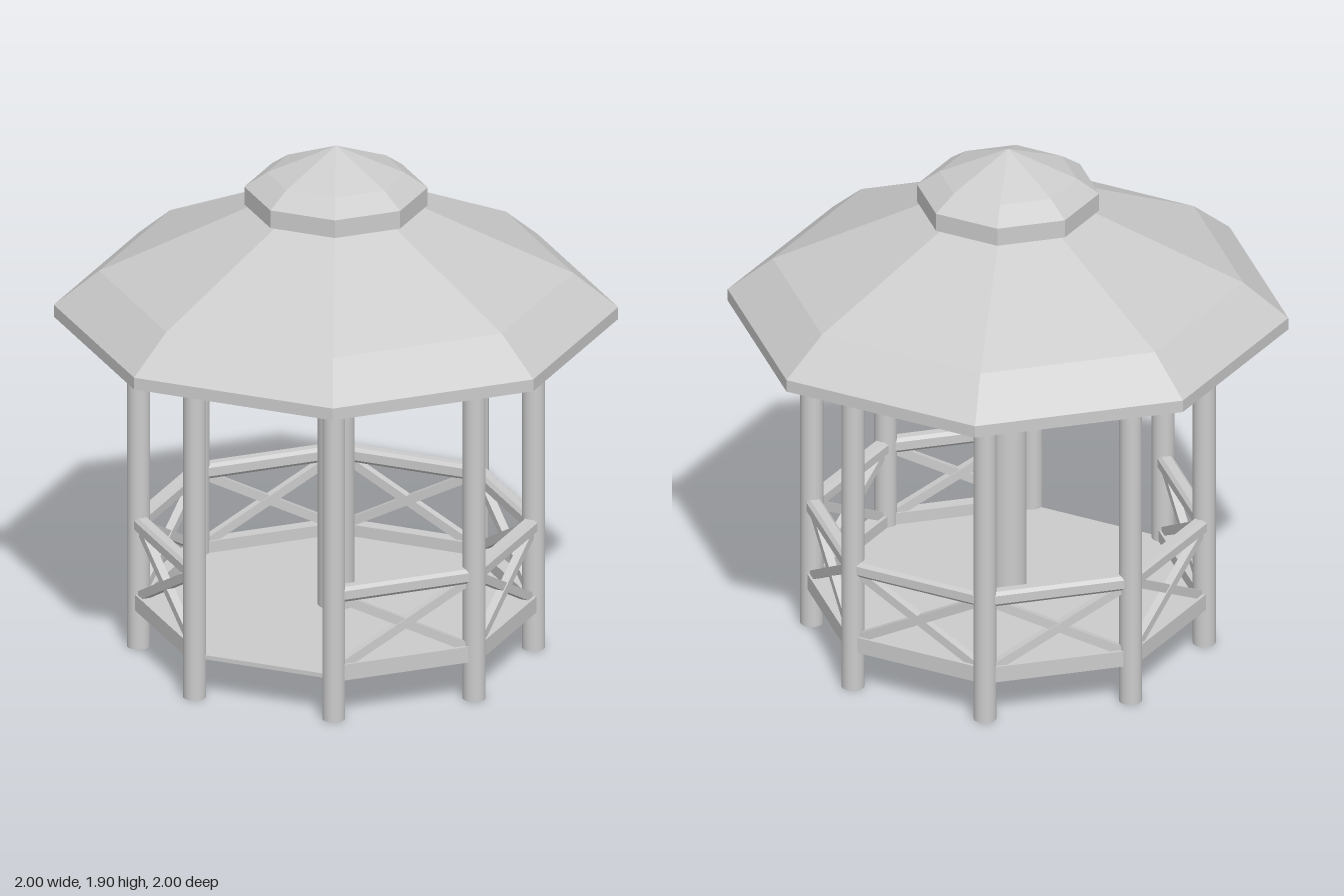
import * as THREE from 'three';

const smooth = new THREE.MeshStandardMaterial({ color: 0xcccccc });
const faceted = new THREE.MeshStandardMaterial({ color: 0xcccccc, flatShading: true });

const SIDES = 8;
const STEP = (Math.PI * 2) / SIDES;
const RADIUS = 0.7; // circle of posts
const CHORD = 2 * RADIUS * Math.sin(STEP / 2);
const APOTHEM = RADIUS * Math.cos(STEP / 2);

function add(parent, name, geometry, material, x = 0, y = 0, z = 0) {
  const mesh = new THREE.Mesh(geometry, material);
  mesh.name = name;
  mesh.position.set(x, y, z);
  parent.add(mesh);
  return mesh;
}

// Eight-sided solid of revolution from a closed [radius, y] profile, outer side listed upwards
function octagonal(profile) {
  const points = [...profile, profile[0]].map(([r, y]) => new THREE.Vector2(r, y));
  return new THREE.LatheGeometry(points, SIDES);
}

// Beam along x with chamfered long edges
function chamferedBeam(length, height, depth, c) {
  const h = height / 2, d = depth / 2;
  const s = new THREE.Shape([
    [d, -h + c], [d, h - c], [d - c, h], [-d + c, h],
    [-d, h - c], [-d, -h + c], [-d + c, -h], [d - c, -h],
  ].map(([x, y]) => new THREE.Vector2(x, y)));
  return new THREE.ExtrudeGeometry(s, { depth: length, bevelEnabled: false })
    .translate(0, 0, -length / 2).rotateY(Math.PI / 2);
}

// One bay of railing: two rails and a diagonal cross
function railing() {
  const bay = new THREE.Group();
  bay.name = 'railing';
  add(bay, 'topRail', chamferedBeam(CHORD, 0.056, 0.056, 0.012), faceted, 0, 0.472, APOTHEM);
  add(bay, 'bottomRail', new THREE.BoxGeometry(CHORD, 0.06, 0.05), faceted, 0, 0.178, APOTHEM);
  const rise = 0.25, run = CHORD - 0.06;
  for (const side of [-1, 1]) {
    const brace = add(bay, 'crossBrace',
      new THREE.BoxGeometry(Math.hypot(rise, run), 0.032, 0.03), faceted,
      0, 0.326, APOTHEM + side * 0.002);
    brace.rotation.z = side * Math.atan2(rise, run);
  }
  return bay;
}

export function createModel() {
  const model = new THREE.Group();
  model.name = 'gazebo';

  // Floor, with corners at the posts
  add(model, 'floor', new THREE.CylinderGeometry(RADIUS, RADIUS, 0.016, SIDES), faceted, 0, 0.156, 0);

  // Posts
  add(model, 'centrePost', new THREE.CylinderGeometry(0.066, 0.066, 1.82, 24), smooth, 0, 0.91, 0);
  const postGeometry = new THREE.CylinderGeometry(0.041, 0.041, 1.3, 20);
  for (let i = 0; i < SIDES; i++) {
    const a = i * STEP;
    add(model, 'post', postGeometry, smooth, RADIUS * Math.sin(a), 0.65, RADIUS * Math.cos(a));
  }

  // Railings in every bay but the entrance
  for (let i = 1; i < SIDES; i++) {
    const bay = railing();
    bay.rotation.y = (i + 0.5) * STEP;
    model.add(bay);
  }

  // Ring beam joining the post tops
  add(model, 'ringBeam', octagonal([
    [0.65, 1.26], [0.75, 1.26], [0.75, 1.34], [0.65, 1.34],
  ]), faceted);

  // Main roof shell with fascia and flared eaves
  add(model, 'roof', octagonal([
    [0.94, 1.25], [1.0, 1.25], [1.0, 1.295], [0.84, 1.425], [0.5, 1.582], [0.22, 1.712],
    [0.22, 1.68], [0.5, 1.55], [0.83, 1.393], [0.94, 1.295],
  ]), faceted);

  // Raised cap over the roof opening
  add(model, 'roofCap', octagonal([
    [0.295, 1.68], [0.325, 1.68], [0.325, 1.747], [0.245, 1.802], [0, 1.905],
    [0, 1.87], [0.235, 1.772], [0.295, 1.73],
  ]), faceted);

  return model;
}
